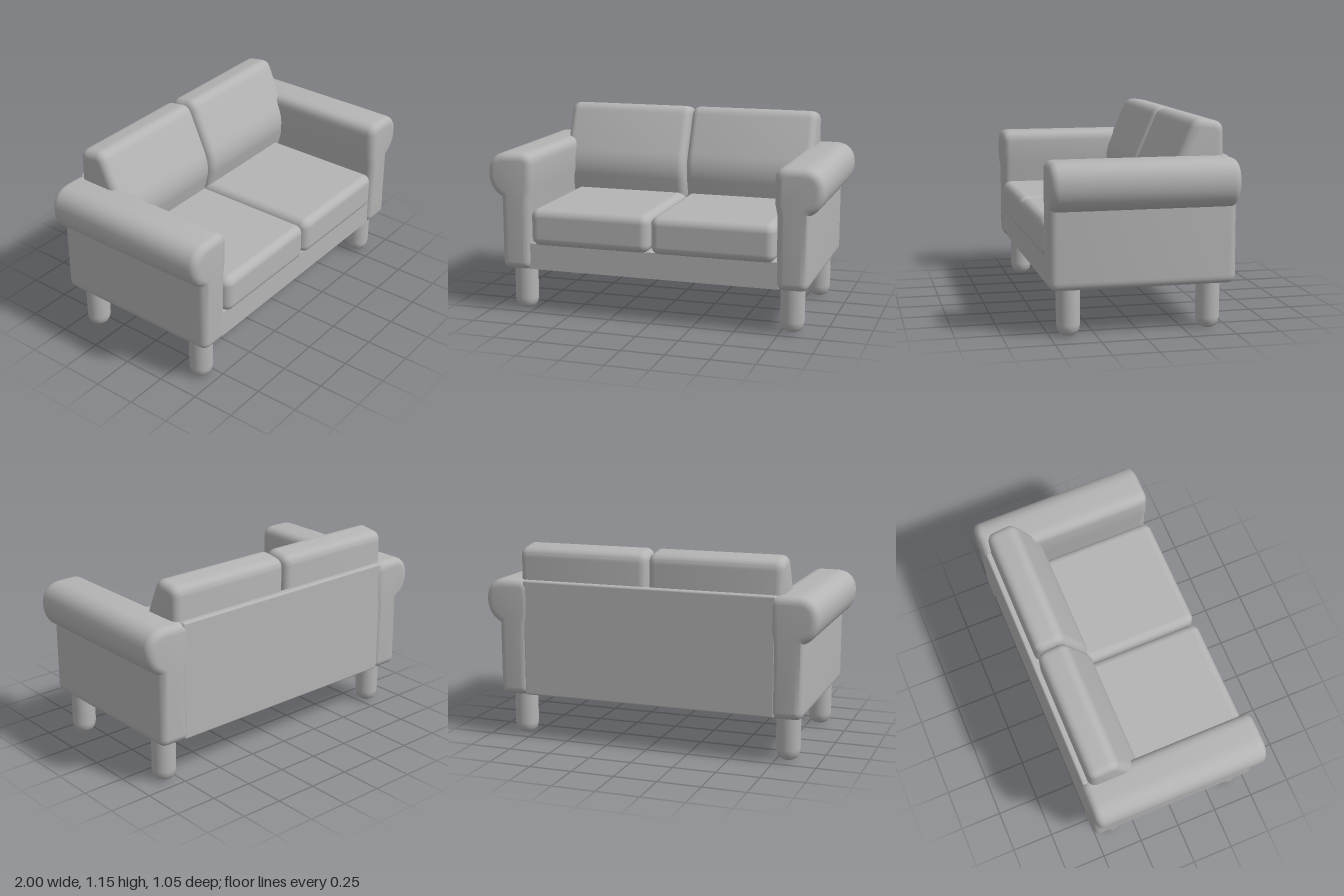
import * as THREE from 'three';
import { toCreasedNormals } from 'three/addons/utils/BufferGeometryUtils.js';
import { RoundedBoxGeometry } from 'three/addons/geometries/RoundedBoxGeometry.js';

// Extrude an outline to a total depth, centred on z, with edges rounded inside the outline
function softExtrude(shape, depth, radius) {
  const geometry = new THREE.ExtrudeGeometry(shape, {
    depth: depth - 2 * radius, curveSegments: 10,
    bevelSize: radius, bevelThickness: radius, bevelOffset: -radius, bevelSegments: 5,
  });
  geometry.translate(0, 0, radius - depth / 2);
  return toCreasedNormals(geometry, 0.7);
}

// Rolled arm cross-section; side is +1 or -1
function armShape(side) {
  const s = new THREE.Shape();
  const x = (v) => v * side;
  s.moveTo(x(0.785), 0.26);
  s.lineTo(x(0.87), 0.26);
  s.quadraticCurveTo(x(0.918), 0.26, x(0.918), 0.31);
  s.lineTo(x(0.918), 0.69);
  s.bezierCurveTo(x(0.972), 0.715, x(1), 0.77, x(1), 0.83);
  s.bezierCurveTo(x(1), 0.91, x(0.95), 0.952, x(0.88), 0.952);
  s.lineTo(x(0.79), 0.952);
  s.quadraticCurveTo(x(0.72), 0.952, x(0.72), 0.885);
  s.lineTo(x(0.72), 0.75);
  s.lineTo(x(0.735), 0.68);
  s.lineTo(x(0.735), 0.31);
  s.quadraticCurveTo(x(0.735), 0.26, x(0.785), 0.26);
  return s;
}

// Back cushion side section, drawn as (z, y)
function backCushionShape() {
  const s = new THREE.Shape();
  s.moveTo(-0.485, 0.58);
  s.lineTo(-0.485, 1.08);
  s.quadraticCurveTo(-0.485, 1.135, -0.43, 1.142);
  s.lineTo(-0.37, 1.152);
  s.quadraticCurveTo(-0.32, 1.16, -0.297, 1.11);
  s.lineTo(-0.195, 0.88);
  s.quadraticCurveTo(-0.16, 0.8, -0.175, 0.72);
  s.lineTo(-0.21, 0.58);
  s.closePath();
  return s;
}

export function createModel() {
  const sofa = new THREE.Group();
  sofa.name = 'sofa';
  const grey = new THREE.MeshStandardMaterial({ color: 0xb4b4b4 });
  grey.name = 'grey fabric';

  const add = (name, geometry, x = 0, y = 0, z = 0) => {
    const mesh = new THREE.Mesh(geometry, grey);
    mesh.name = name;
    mesh.position.set(x, y, z);
    sofa.add(mesh);
    return mesh;
  };

  // Frame
  add('baseFrame', new THREE.BoxGeometry(1.5, 0.155, 1.0), 0, 0.3425, -0.005);
  add('backPanel', new RoundedBoxGeometry(1.52, 0.685, 0.05, 3, 0.012), 0, 0.6075, -0.493);

  // Shared cushion and leg geometry
  const seat = new RoundedBoxGeometry(0.725, 0.222, 0.8, 5, 0.05);
  const back = softExtrude(backCushionShape(), 0.785, 0.045);
  back.rotateY(-Math.PI / 2);
  const legProfile = [
    [0, 0], [0.03, 0.003], [0.051, 0.015], [0.064, 0.035], [0.07, 0.065], [0.07, 0.3],
  ].map(([r, y]) => new THREE.Vector2(r, y));
  const leg = new THREE.LatheGeometry(legProfile, 24);
  leg.scale(1, 1, 0.94);

  for (const side of [1, -1]) {
    const label = side > 0 ? 'left' : 'right';
    add(label + 'Arm', softExtrude(armShape(side), 1.04, 0.045), 0, 0, -0.005);
    add(label + 'SeatCushion', seat, side * 0.3675, 0.522, 0.124);
    add(label + 'BackCushion', back, side * 0.3975);
    // Slim rail under the inner edge of the arm
    add(label + 'BottomRail', new RoundedBoxGeometry(0.03, 0.04, 0.82, 3, 0.01), side * 0.74, 0.264, 0);
    for (const [end, z] of [['Front', 0.395], ['Back', -0.39]]) {
      add(label + end + 'Leg', leg, side * 0.813, 0, z);
    }
  }
  return sofa;
}
